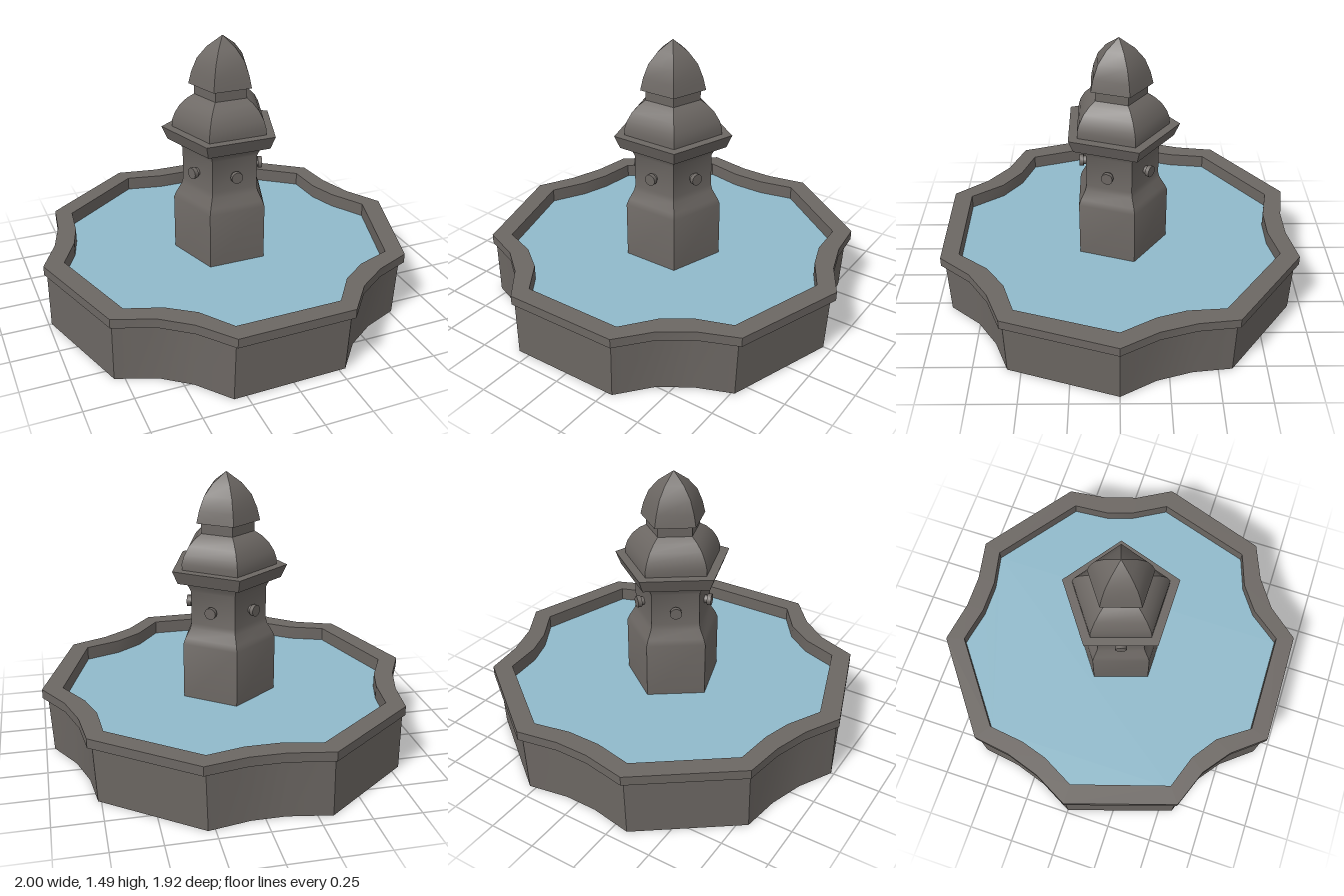
import * as THREE from 'three';
import { toCreasedNormals } from 'three/addons/utils/BufferGeometryUtils.js';

const CREASE = 0.6;
const WATER_Y = 0.285;

// Basin outlines as [x, z], counterclockwise seen from above
const RIM_OUTER = [
  [1, 0], [0.89, -0.19], [0.83, -0.38], [0.805, -0.59],
  [0.31, -0.96], [0.09, -0.92], [-0.09, -0.92], [-0.32, -0.96],
  [-0.81, -0.59], [-0.84, -0.38], [-0.9, -0.19], [-1, 0],
  [-0.81, 0.59], [-0.6, 0.67], [-0.45, 0.785], [-0.31, 0.96],
  [0.31, 0.95], [0.45, 0.78], [0.61, 0.67], [0.805, 0.59],
];
const RIM_INNER = [
  [0.89, 0], [0.785, -0.18], [0.735, -0.33], [0.72, -0.53],
  [0.28, -0.86], [0.09, -0.82], [-0.09, -0.82], [-0.29, -0.86],
  [-0.725, -0.53], [-0.75, -0.33], [-0.795, -0.18], [-0.89, 0],
  [-0.725, 0.525], [-0.54, 0.59], [-0.4, 0.69], [-0.28, 0.86],
  [0.275, 0.855], [0.4, 0.69], [0.54, 0.59], [0.725, 0.525],
];

const ring = (outline, y, scale = 1, dx = 0) =>
  outline.map(([x, z]) => [x * scale + dx, y, z * scale]);

// Pentagon ring with one corner at the back and a flat face at the front
const pentagon = (r, y) => Array.from({ length: 5 }, (_, i) => {
  const a = Math.PI / 2 + (i * Math.PI * 2) / 5;
  return [r * Math.cos(a), y, -r * Math.sin(a)];
});

// Skin joining successive rings
function loft(rings) {
  const pos = [];
  for (let k = 0; k < rings.length - 1; k++) {
    const a = rings[k], b = rings[k + 1];
    for (let i = 0; i < a.length; i++) {
      const j = (i + 1) % a.length;
      pos.push(...a[i], ...a[j], ...b[j], ...a[i], ...b[j], ...b[i]);
    }
  }
  const geo = new THREE.BufferGeometry();
  geo.setAttribute('position', new THREE.Float32BufferAttribute(pos, 3));
  return toCreasedNormals(geo, CREASE);
}

// Flat horizontal sheet bounded by a ring
function sheet(points, faceUp) {
  const s = faceUp ? -1 : 1;
  const shape = new THREE.Shape(points.map(([x, , z]) => new THREE.Vector2(x, s * z)));
  return new THREE.ShapeGeometry(shape).rotateX(s * Math.PI / 2).translate(0, points[0][1], 0);
}

export function createModel() {
  const stone = new THREE.MeshStandardMaterial({ color: 0x6c6763 });
  stone.name = 'stone';
  const waterBlue = new THREE.MeshStandardMaterial({ color: 0x90bacb });
  waterBlue.name = 'waterBlue';

  const model = new THREE.Group();
  model.name = 'fountain';
  const add = (name, geo, mat = stone, parent = model) => {
    const mesh = new THREE.Mesh(geo, mat);
    mesh.name = name;
    parent.add(mesh);
    return mesh;
  };

  // Basin: tapered wall, overhanging rim and inner wall
  const foot = ring(RIM_OUTER, 0, 0.97, -0.015);
  add('basinWall', loft([
    foot,
    ring(RIM_OUTER, 0.31, 0.978, -0.007),
    ring(RIM_OUTER, 0.31),
    ring(RIM_OUTER, 0.36),
    ring(RIM_INNER, 0.36),
    ring(RIM_INNER, WATER_Y - 0.01),
  ]));
  add('basinFloor', sheet(foot, false));
  add('water', sheet(ring(RIM_INNER, WATER_Y), true), waterBlue);

  // Five-sided tower, each part a [radius, height] profile
  const tower = {
    column: [[0.263, 0.27], [0.263, 0.59], [0.25, 0.62], [0.22, 0.67], [0.212, 0.7],
      [0.212, 0.875], [0.225, 0.9], [0.242, 0.93]],
    ledge: [[0.2, 0.93], [0.29, 0.93], [0.32, 1.0], [0.2, 1.0]],
    dome: [[0.264, 1.0], [0.264, 1.035], [0.25, 1.075], [0.222, 1.12], [0.185, 1.155],
      [0.148, 1.178]],
    neck: [[0.148, 1.17], [0.148, 1.24]],
    cap: [[0.1, 1.235], [0.176, 1.235], [0.16, 1.3], [0.131, 1.37], [0.08, 1.43], [0, 1.487]],
  };
  for (const [name, profile] of Object.entries(tower)) {
    add(name, loft(profile.map(([r, y]) => pentagon(r, y))));
  }

  // One spout in the middle of each tower face
  const pipe = toCreasedNormals(
    new THREE.CylinderGeometry(0.022, 0.022, 0.05, 12).rotateX(Math.PI / 2), CREASE);
  const collar = toCreasedNormals(
    new THREE.CylinderGeometry(0.031, 0.031, 0.022, 12).rotateX(Math.PI / 2), CREASE);
  for (let i = 0; i < 5; i++) {
    const spout = new THREE.Group();
    spout.name = 'spout';
    spout.rotation.y = (i * Math.PI * 2) / 5;
    add('spoutPipe', pipe, stone, spout).position.set(0, 0.78, 0.18);
    add('spoutCollar', collar, stone, spout).position.set(0, 0.78, 0.199);
    model.add(spout);
  }
  return model;
}
